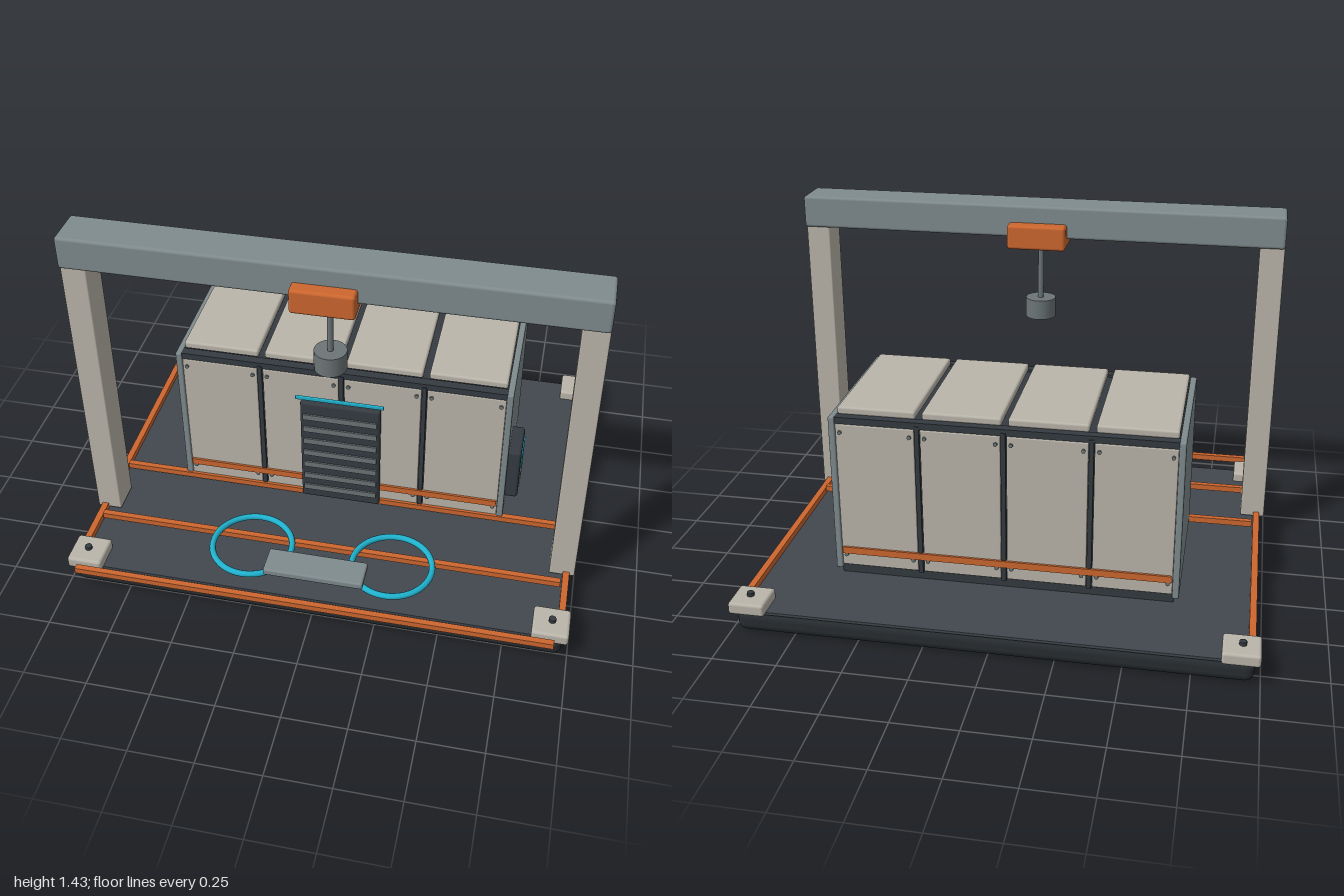
import * as THREE from 'three';
import { RoundedBoxGeometry } from 'three/addons/geometries/RoundedBoxGeometry.js';

function material(name, color) {
  const m = new THREE.MeshStandardMaterial({ color });
  m.name = name;
  return m;
}

export function createModel() {
  const beige = material('warm beige panel', 0xbab5aa);
  const grey = material('blue grey steel', 0x7f8b8d);
  const dark = material('dark frame', 0x343b41);
  const deckMat = material('charcoal deck', 0x42484f);
  const rubber = material('black rubber', 0x282d31);
  const orange = material('safety orange', 0xcd672f);
  const cyan = material('cyan glow', 0x20b2ce);
  const steel = material('mid grey steel', 0x6c7577);

  const root = new THREE.Group();
  root.name = 'gantryPlatform';

  function group(name) {
    const g = new THREE.Group();
    g.name = name;
    root.add(g);
    return g;
  }
  function add(parent, name, geometry, mat, x = 0, y = 0, z = 0) {
    const mesh = new THREE.Mesh(geometry, mat);
    mesh.name = name;
    mesh.position.set(x, y, z);
    parent.add(mesh);
    return mesh;
  }
  // Box given by its limits on each axis, with an optional edge radius
  function box(parent, name, mat, [x0, x1], [y0, y1], [z0, z1], r = 0) {
    const w = x1 - x0, h = y1 - y0, d = z1 - z0;
    const geo = r ? new RoundedBoxGeometry(w, h, d, 2, r) : new THREE.BoxGeometry(w, h, d);
    return add(parent, name, geo, mat, (x0 + x1) / 2, (y0 + y1) / 2, (z0 + z1) / 2);
  }

  // Base slab with deck plate
  const base = group('base');
  box(base, 'bumperSlab', rubber, [-0.978, 0.978], [0, 0.09], [-0.81, 0.767], 0.035);
  box(base, 'deckPlate', deckMat, [-0.965, 0.965], [0.083, 0.094], [-0.805, 0.757]);

  // Corner blocks with bolts
  for (const sx of [-1, 1]) for (const z of [-0.76, 0.71]) {
    box(base, 'cornerBlock', beige, [sx * 0.927 - 0.071, sx * 0.927 + 0.071], [0.085, 0.135], [z - 0.07, z + 0.07], 0.012);
    add(base, 'cornerBolt', new THREE.CylinderGeometry(0.014, 0.014, 0.014, 12), dark, sx * 0.93, 0.142, z);
  }

  // Floor rails
  const rails = group('floorRails');
  for (const z of [0.185, 0.5, 0.817])
    box(rails, 'crossRail', orange, [-0.945, 0.945], [0.113, 0.138], [z - 0.012, z + 0.012]);
  for (const s of [-1, 1])
    box(rails, 'sideRail', orange, [s * 0.964 - 0.013, s * 0.964 + 0.013], [0.092, 0.12], [-0.7, 0.65]);

  // Gantry: posts, beam, trolley, cable and weight
  const gantry = group('gantry');
  for (const s of [-1, 1])
    box(gantry, 'gantryPost', beige, [s * 0.947 - 0.05, s * 0.947 + 0.05], [0.1, 1.31], [0.3, 0.432], 0.006);
  box(gantry, 'gantryBeam', grey, [-0.997, 0.997], [1.303, 1.435], [0.28, 0.45], 0.012);
  box(gantry, 'trolley', orange, [-0.12, 0.12], [1.265, 1.365], [0.226, 0.502], 0.012);
  add(gantry, 'hoistCable', new THREE.CylinderGeometry(0.012, 0.012, 0.26, 16), steel, 0, 1.145, 0.365);
  add(gantry, 'hoistWeight', new THREE.CylinderGeometry(0.063, 0.063, 0.082, 24), steel, 0, 0.984, 0.365);

  // Container core with end walls
  const unit = group('container');
  box(unit, 'containerCore', dark, [-0.66, 0.66], [0.094, 0.765], [-0.455, 0.165]);
  for (const s of [-1, 1])
    box(unit, 'endWall', grey, [s * 0.668 - 0.013, s * 0.668 + 0.013], [0.12, 0.775], [-0.475, 0.19], 0.006);

  // Front and back faces mirror each other about the container's middle
  for (const f of [-1, 1]) {
    const zAt = d => -0.1425 + f * d;
    const span = (a, b) => [Math.min(zAt(a), zAt(b)), Math.max(zAt(a), zAt(b))];
    box(unit, 'topTrim', dark, [-0.657, 0.657], [0.748, 0.775], span(0.29, 0.328));
    box(unit, 'warningStripe', orange, [-0.65, 0.65], [0.19, 0.218], span(0.32, 0.337));
    for (const x of [-0.333, 0, 0.333])
      box(unit, 'divider', dark, [x - 0.009, x + 0.009], [0.13, 0.76], span(0.3, 0.332));
    for (let i = 0; i < 4; i++) {
      const x = (i - 1.5) * 0.333;
      box(unit, 'wallPanel', beige, [x - 0.155, x + 0.155], [0.135, 0.746], span(0.3, 0.328), 0.005);
      for (const sx of [-1, 1]) for (const y of [0.183, 0.713]) {
        const bolt = add(unit, 'panelBolt', new THREE.CylinderGeometry(0.008, 0.008, 0.012, 10), steel, x + sx * 0.137, y, zAt(0.329));
        bolt.rotation.x = Math.PI / 2;
      }
    }
  }

  // Roof plates
  for (let i = 0; i < 4; i++) {
    const x = (i - 1.5) * 0.333;
    box(unit, 'roofPlate', beige, [x - 0.154, x + 0.154], [0.772, 0.805], [-0.438, 0.148], 0.01);
  }

  // Louvred door with light strip
  const door = group('louvreDoor');
  box(door, 'doorPanel', dark, [-0.165, 0.165], [0.12, 0.625], [0.185, 0.214], 0.012);
  for (let i = 0; i < 7; i++) {
    const y = 0.178 + i * 0.063;
    box(door, 'louvre', steel, [-0.152, 0.152], [y - 0.013, y + 0.013], [0.208, 0.221]);
  }
  box(door, 'lightStrip', cyan, [-0.18, 0.18], [0.648, 0.666], [0.217, 0.226], 0.004);

  // Control box on the left end wall
  const control = group('controlBox');
  box(control, 'controlCase', dark, [0.675, 0.732], [0.235, 0.475], [0, 0.172], 0.012);
  box(control, 'controlScreen', cyan, [0.729, 0.736], [0.373, 0.446], [0.026, 0.145]);
  for (const y of [0.3, 0.325, 0.35])
    box(control, 'controlSlot', steel, [0.729, 0.736], [y - 0.004, y + 0.004], [0.026, 0.15]);

  // Floor rings with the block joining them
  const floor = group('floorRings');
  for (const s of [-1, 1]) {
    const ring = add(floor, 'floorRing', new THREE.TorusGeometry(0.16, 0.0125, 10, 48), cyan, s * 0.285, 0.15, 0.57);
    ring.rotation.x = Math.PI / 2;
  }
  box(floor, 'ringBlock', grey, [-0.198, 0.198], [0.166, 0.197], [0.615, 0.735], 0.008);

  return root;
}
